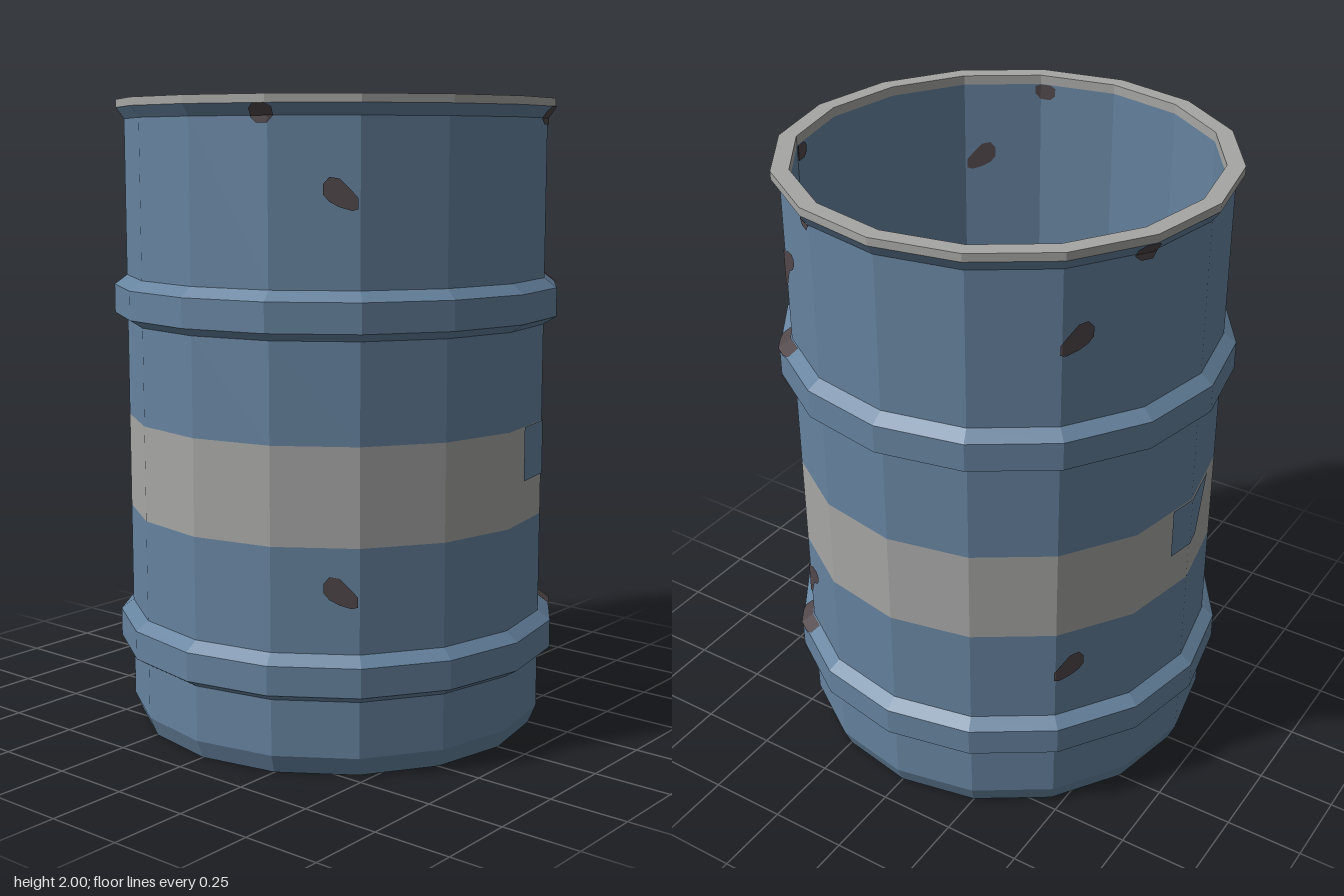
import * as THREE from 'three';

const SIDES = 16, STEP = 360 / SIDES, RAD = Math.PI / 180;

// Profiles as [radius, height]
const OUTER = [[0.65, 0], [0.675, 0.06], [0.675, 0.235], [0.715, 0.26], [0.715, 0.35], [0.675, 0.38],
  [0.675, 0.7], [0.675, 1.0], [0.675, 1.305], [0.715, 1.33], [0.715, 1.42], [0.675, 1.45],
  [0.675, 1.94], [0.70, 1.975]];
const INNER = [[0.645, 0.06], [0.645, 0.7], [0.645, 1.0], [0.645, 1.97]];

export function createModel() {
  const model = new THREE.Group();
  model.name = 'barrel';
  const mat = (name, color) => {
    const m = new THREE.MeshStandardMaterial({ color });
    m.name = name;
    return m;
  };
  const blue = mat('bluePaint', 0x66839f);
  const grey = mat('greyPaint', 0xa6a7a5);
  const rust = mat('rust', 0x50474a);
  const dark = mat('darkFloor', 0x55545d);

  const add = (name, geometry, material) => {
    const mesh = new THREE.Mesh(geometry, material);
    mesh.name = name;
    model.add(mesh);
  };

  // Faceted ring turned from a profile; rising profiles face out, falling ones face in
  const turned = (name, pts, material) => {
    const g = new THREE.LatheGeometry(pts.map(p => new THREE.Vector2(p[0], p[1])), SIDES).toNonIndexed();
    g.computeVertexNormals();
    add(name, g, material);
  };

  // Point on a flat facet at a given angle
  const onFacet = (deg, r, y) => {
    const local = ((deg % STEP) + STEP) % STEP - STEP / 2;
    const d = r * Math.cos(STEP / 2 * RAD) / Math.cos(local * RAD);
    return [d * Math.sin(deg * RAD), y, d * Math.cos(deg * RAD)];
  };

  // Painted mark: columns of [angle, low, high], wrapped onto the wall profile
  const mark = (name, columns, material, inside = false) => {
    const cols = [];
    columns.forEach((c, i) => {
      if (i) {
        const p = columns[i - 1];
        const edge = Math.ceil(p[0] / STEP) * STEP;
        if (edge > p[0] && edge < c[0]) {
          const t = (edge - p[0]) / (c[0] - p[0]);
          cols.push([edge, p[1] + (c[1] - p[1]) * t, p[2] + (c[2] - p[2]) * t]);
        }
      }
      cols.push(c);
    });
    const wall = inside ? INNER : OUTER, lift = inside ? -0.004 : 0.004, pos = [];
    for (let i = 1; i < cols.length; i++) {
      for (let s = 1; s < wall.length; s++) {
        const [r0, y0] = wall[s - 1], [r1, y1] = wall[s];
        const at = (col, k) => {
          const y = Math.min(y1, Math.max(y0, col[k]));
          return onFacet(col[0], r0 + (r1 - r0) * (y - y0) / (y1 - y0) + lift, y);
        };
        const a = at(cols[i - 1], 1), b = at(cols[i], 1), c = at(cols[i], 2), d = at(cols[i - 1], 2);
        if (c[1] - b[1] < 1e-5 && d[1] - a[1] < 1e-5) continue;
        const tris = inside ? [a, c, b, a, d, c] : [a, b, c, a, c, d];
        pos.push(...tris.flat());
      }
    }
    const g = new THREE.BufferGeometry();
    g.setAttribute('position', new THREE.Float32BufferAttribute(pos, 3));
    g.computeVertexNormals();
    add(name, g, material);
  };
  const bothSides = (name, columns, material) => {
    mark(name, columns, material);
    mark(name + 'Inside', columns, material, true);
  };

  // Shell, stripe and rim
  turned('lowerBody', [[0, 0], ...OUTER.slice(0, 7)], blue);
  turned('stripe', OUTER.slice(6, 8), grey);
  turned('upperBody', OUTER.slice(7), blue);
  turned('rim', [[0.70, 1.975], [0.70, 2], [0.645, 2], [0.645, 1.97]], grey);

  // Inside walls and floor
  turned('upperInnerWall', [INNER[3], INNER[2]], blue);
  turned('innerStripe', [INNER[2], INNER[1]], grey);
  turned('lowerInnerWall', [INNER[1], INNER[0]], blue);
  turned('floor', [INNER[0], [0, 0.06]], dark);

  // Gaps in the stripe
  for (const a of [99.5, 262]) {
    bothSides('stripeGap', [[a, 0.83, 1], [a + 13, 0.83, 1], [a + 22, 0.999, 1]], blue);
  }

  // Rust patches, repeated on the upper and lower body
  const heart = [[126, 1.72, 1.74], [128, 1.70, 1.765], [131, 1.68, 1.765], [134.5, 1.64, 1.75],
    [136.5, 1.64, 1.75], [139, 1.70, 1.765], [142, 1.72, 1.77], [143.5, 1.74, 1.76]];
  const spot = [[36, 1.72, 1.75], [37.5, 1.70, 1.77], [40, 1.685, 1.765], [43, 1.675, 1.73], [44.5, 1.68, 1.71]];
  const mirroredSpot = spot.map(([a, l, h]) => [269 - a, l, h]).reverse();
  for (const drop of [0, 1.155]) {
    for (const shape of [heart, spot, mirroredSpot]) {
      bothSides('rustPatch', shape.map(([a, l, h]) => [a, l - drop, h - drop]), rust);
    }
  }

  // Rust on the hoop bevels
  for (const [low, high] of [[0.235, 0.262], [0.348, 0.38], [1.305, 1.332], [1.418, 1.45]]) {
    mark('hoopRust', [[128, low + 0.008, high], [130, low, high], [139, low, high], [141, low + 0.008, high]], rust);
  }

  // Rust under the rim
  for (const a of [21, 111, 155, 246]) {
    bothSides('rimRust', [[a - 3, 1.935, 1.96], [a - 1.5, 1.92, 1.975], [a + 1.5, 1.92, 1.975], [a + 3, 1.94, 1.965]], rust);
  }
  return model;
}
